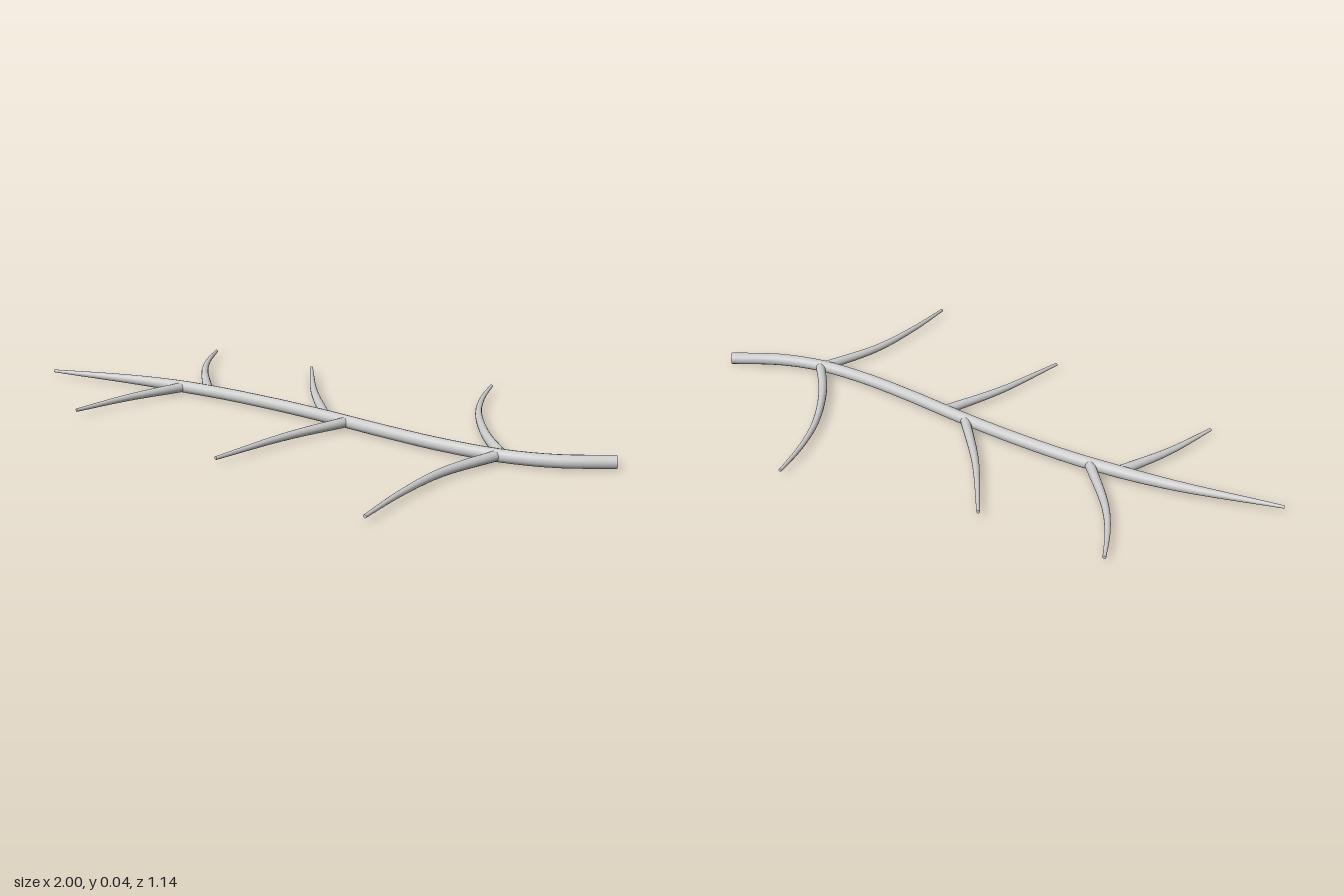
import * as THREE from 'three';

const HEIGHT = 0.021;
const material = new THREE.MeshStandardMaterial({ color: 0xcccccc });

// Tapered round limb through [x, z] points; radiusAt(u) gives its thickness
function makeLimb(name, points, radiusAt, segments) {
  const curve = new THREE.CatmullRomCurve3(points.map(([x, z]) => new THREE.Vector3(x, HEIGHT, z)));
  const sides = 14;
  const geometry = new THREE.TubeGeometry(curve, segments, 1, sides, false);
  const pos = geometry.attributes.position;
  const v = new THREE.Vector3();
  for (let i = 0; i <= segments; i++) {
    const u = i / segments;
    const centre = curve.getPointAt(u);
    for (let j = 0; j <= sides; j++) {
      const k = i * (sides + 1) + j;
      v.fromBufferAttribute(pos, k).sub(centre).multiplyScalar(radiusAt(u)).add(centre);
      pos.setXYZ(k, v.x, v.y, v.z);
    }
  }
  const limb = new THREE.Group();
  limb.name = name;
  const wood = new THREE.Mesh(geometry, material);
  wood.name = name + 'Wood';
  limb.add(wood);

  // Flat discs close both ends
  for (const [u, sign, label] of [[0, -1, 'BaseCap'], [1, 1, 'TipCap']]) {
    const cap = new THREE.Mesh(new THREE.CircleGeometry(radiusAt(u), sides), material);
    cap.name = name + label;
    cap.position.copy(curve.getPointAt(u));
    cap.lookAt(cap.position.clone().addScaledVector(curve.getTangentAt(u), sign));
    limb.add(cap);
  }
  return limb;
}

export function createModel() {
  const model = new THREE.Group();
  model.name = 'branch';

  // Main stem: even thickness, tapering over the last stretch
  const stemRadius = (u) => {
    const t = Math.max(0, (u - 0.74) / 0.26);
    return 0.021 - 0.016 * Math.pow(t, 1.4);
  };
  model.add(makeLimb('mainStem', [
    [0.982, -0.23], [0.84, -0.115], [0.7, -0.045], [0.51, 0.003], [0.3, 0.03], [0.056, 0.051],
    [-0.18, 0.083], [-0.4, 0.127], [-0.665, 0.208], [-0.998, 0.35],
  ], stemRadius, 48));

  // Side twigs, listed from the stem outwards
  const twigs = {
    backTwigLeft: [[0.7, -0.045], [0.565, -0.155], [0.43, -0.31], [0.352, -0.45], [0.305, -0.573]],
    backTwigMiddle: [[0.065, 0.048], [-0.13, -0.115], [-0.313, -0.305]],
    backTwigRight: [[-0.41, 0.128], [-0.585, -0.02], [-0.665, -0.115], [-0.73, -0.218]],
    frontTwigLeft: [[0.686, -0.04], [0.637, 0.18], [0.639, 0.38], [0.661, 0.565]],
    frontTwigMiddle: [[0.156, 0.043], [0.097, 0.27], [0.062, 0.545]],
    frontTwigRight: [[-0.505, 0.157], [-0.563, 0.36], [-0.594, 0.56]],
  };
  for (const [name, points] of Object.entries(twigs)) {
    model.add(makeLimb(name, points, (u) => 0.017 - 0.0115 * Math.pow(u, 1.2), 16));
  }
  return model;
}
